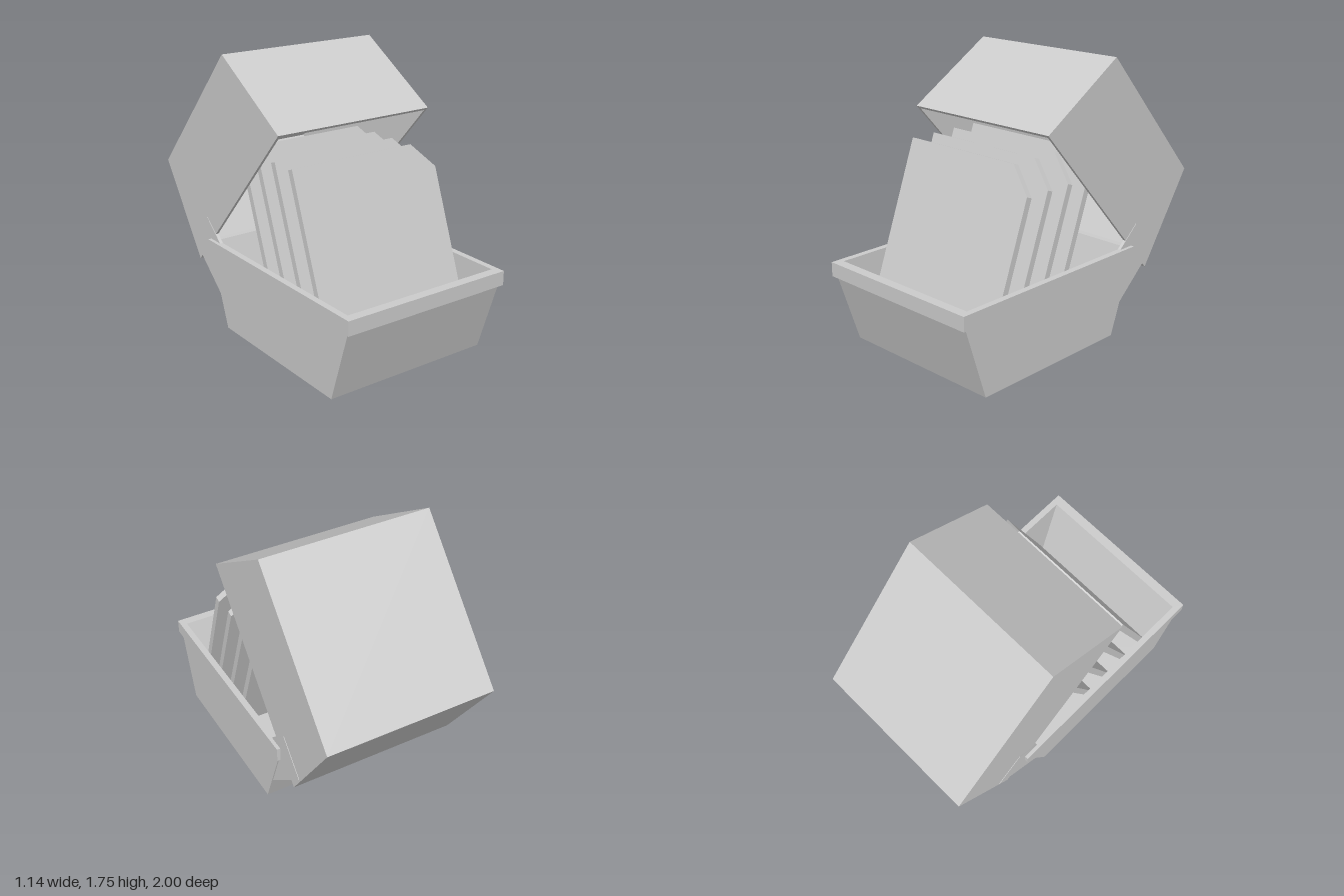
import * as THREE from 'three';

const material = new THREE.MeshStandardMaterial({ color: 0xcccccc, flatShading: true });

function addMesh(parent, name, geometry) {
  const mesh = new THREE.Mesh(geometry, material);
  mesh.name = name;
  parent.add(mesh);
  return mesh;
}

// Rectangular section: half width, then one edge [z, y] and the opposite edge [z, y]
function ring(halfWidth, [z0, y0], [z1, y1]) {
  return [[-halfWidth, y0, z0], [halfWidth, y0, z0], [halfWidth, y1, z1], [-halfWidth, y1, z1]];
}

// Joins the sections in order and caps both ends
function loft(rings) {
  const positions = [];
  const quad = (a, b, c, d) => positions.push(...a, ...b, ...c, ...a, ...c, ...d);
  for (let r = 0; r < rings.length - 1; r++) {
    const a = rings[r], b = rings[r + 1];
    for (let i = 0; i < 4; i++) {
      const j = (i + 1) % 4;
      quad(a[i], a[j], b[j], b[i]);
    }
  }
  quad(...[...rings[0]].reverse());
  quad(...rings[rings.length - 1]);
  const geometry = new THREE.BufferGeometry();
  geometry.setAttribute('position', new THREE.Float32BufferAttribute(positions, 3));
  geometry.computeVertexNormals();
  return geometry;
}

export function createModel() {
  const model = new THREE.Group();
  model.name = 'diskBox';

  // Tray: sloping front and back, straight sides, projecting rim, hollow inside
  const level = (halfWidth, y, front, back) => ring(halfWidth, [front, y], [back, y]);
  addMesh(model, 'tray', loft([
    level(0.555, 0, 0.83, -0.27),
    level(0.555, 0.455, 0.975, -0.44),
    level(0.57, 0.455, 1.0, -0.455),
    level(0.57, 0.545, 1.0, -0.455),
    level(0.53, 0.545, 0.94, -0.41),
    level(0.5, 0.03, 0.77, -0.24),
  ]));

  // Lid: hollow box tipped backwards, from closed end to mouth and back inside
  addMesh(model, 'lid', loft([
    ring(0.545, [-1.0, 0.93], [-0.26, 1.75]),
    ring(0.545, [-0.61, 0.36], [0.32, 1.39]),
    ring(0.527, [-0.595, 0.376], [0.305, 1.374]),
    ring(0.527, [-0.972, 0.932], [-0.262, 1.722]),
  ]));

  // Hinge arms joining the lid to the tray sides
  const arm = new THREE.Shape([
    [-0.68, 0.482], [-0.28, 0.133], [-0.10, 0.328], [-0.50, 0.677],
  ].map(([z, y]) => new THREE.Vector2(-z, y)));
  for (const [name, x] of [['leftHingeArm', 0.528], ['rightHingeArm', -0.548]]) {
    const geometry = new THREE.ExtrudeGeometry(arm, { depth: 0.02, bevelEnabled: false });
    geometry.rotateY(Math.PI / 2);
    addMesh(model, name, geometry).position.x = x;
  }

  // Four leaning disks, each with one cut corner
  const height = 1.044, tilt = Math.atan(0.368);
  const outline = new THREE.Shape([
    [-0.505, 0], [0.505, 0], [0.505, height - 0.16], [0.35, height], [-0.505, height],
  ].map(([x, y]) => new THREE.Vector2(x, y)));
  const diskGeometry = new THREE.ExtrudeGeometry(outline, { depth: 0.04, bevelEnabled: false });
  diskGeometry.translate(0, 0, -0.04);
  const disks = new THREE.Group();
  disks.name = 'disks';
  model.add(disks);
  for (let i = 0; i < 4; i++) {
    const disk = addMesh(disks, 'disk' + (i + 1), diskGeometry);
    disk.position.set(0, 0.23, 0.753 - i * 0.172);
    disk.rotation.x = -tilt;
  }

  return model;
}
